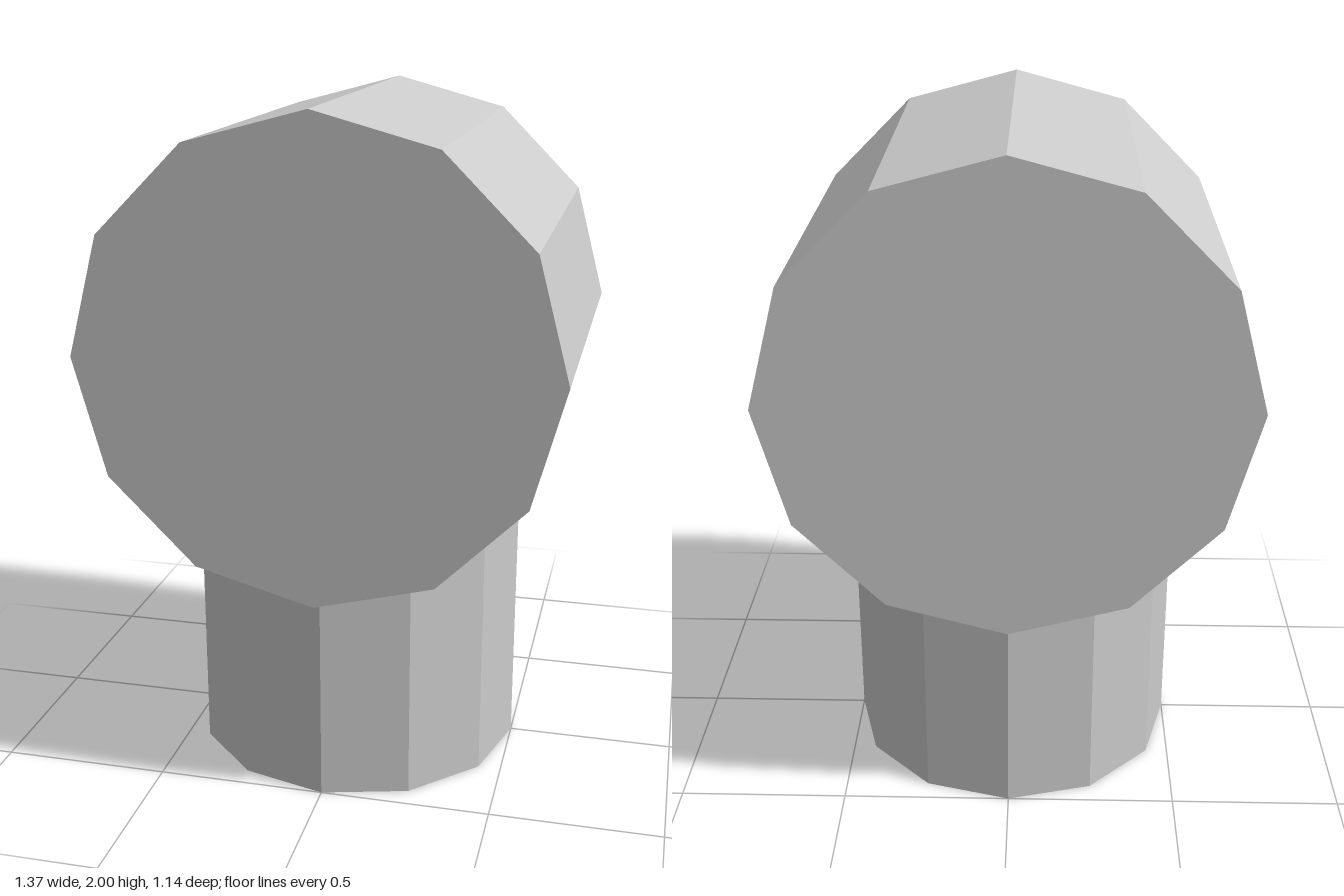
import * as THREE from 'three';

const SIDES = 12;

export function createModel() {
  const model = new THREE.Group();
  model.name = 'mallet';
  const material = new THREE.MeshStandardMaterial({ color: 0xcccccc, flatShading: true });

  const addCylinder = (name, radius, length, y) => {
    const mesh = new THREE.Mesh(new THREE.CylinderGeometry(radius, radius, length, SIDES), material);
    mesh.name = name;
    mesh.position.y = y;
    model.add(mesh);
    return mesh;
  };

  // Upright post, its top buried in the head
  addCylinder('post', 0.5, 1, 0.5);

  // Head lying along z
  addCylinder('head', 0.683, 1.14, 1.317).rotation.x = Math.PI / 2;

  return model;
}
